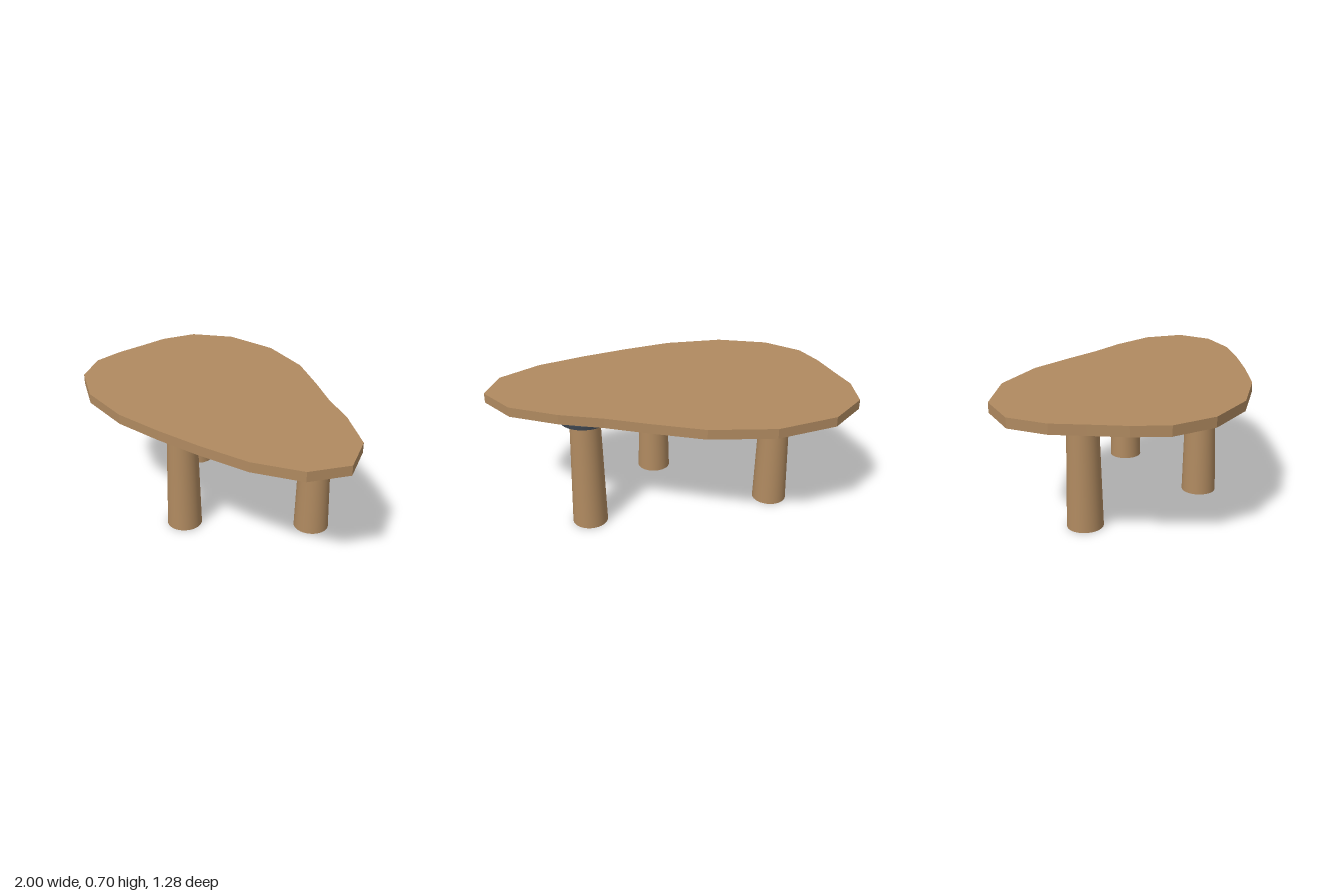
import * as THREE from 'three';

export function createModel() {
  const model = new THREE.Group();
  const wood = new THREE.MeshStandardMaterial({ color: 0xb08a60 });
  const metal = new THREE.MeshStandardMaterial({ color: 0x3c444e });

  const add = (parent, name, geometry, material, y) => {
    const mesh = new THREE.Mesh(geometry, material);
    mesh.name = name;
    mesh.position.y = y;
    parent.add(mesh);
    return mesh;
  };

  // Pebble-shaped top: outline as [x, z], extruded upwards
  const outline = [
    [1, 0.015], [0.925, 0.225], [0.705, 0.38], [0.44, 0.48], [0.18, 0.56],
    [-0.1, 0.63], [-0.435, 0.637], [-0.715, 0.54], [-0.885, 0.37], [-0.94, 0.19],
    [-0.97, 0], [-1, -0.17], [-0.967, -0.385], [-0.775, -0.565], [-0.445, -0.645],
    [-0.1, -0.6], [0.17, -0.49], [0.385, -0.395], [0.615, -0.315], [0.865, -0.185],
  ];
  const shape = new THREE.Shape(outline.map(([x, z]) => new THREE.Vector2(x, -z)));
  const slab = new THREE.ExtrudeGeometry(shape, { depth: 0.053, bevelEnabled: false });
  slab.rotateX(-Math.PI / 2);
  add(model, 'tableTop', slab, wood, 0.645);

  // Three tapered legs, each with a mounting plate under the top
  const legGeometry = new THREE.CylinderGeometry(0.081, 0.097, 0.626, 32);
  const plateGeometry = new THREE.CylinderGeometry(0.133, 0.133, 0.02, 32);
  for (const [x, z] of [[-0.58, -0.154], [0.037, 0.334], [0.477, -0.232]]) {
    const leg = new THREE.Group();
    leg.name = 'leg';
    leg.position.set(x, 0, z);
    add(leg, 'legPost', legGeometry, wood, 0.313);
    add(leg, 'mountingPlate', plateGeometry, metal, 0.635);
    model.add(leg);
  }
  return model;
}
